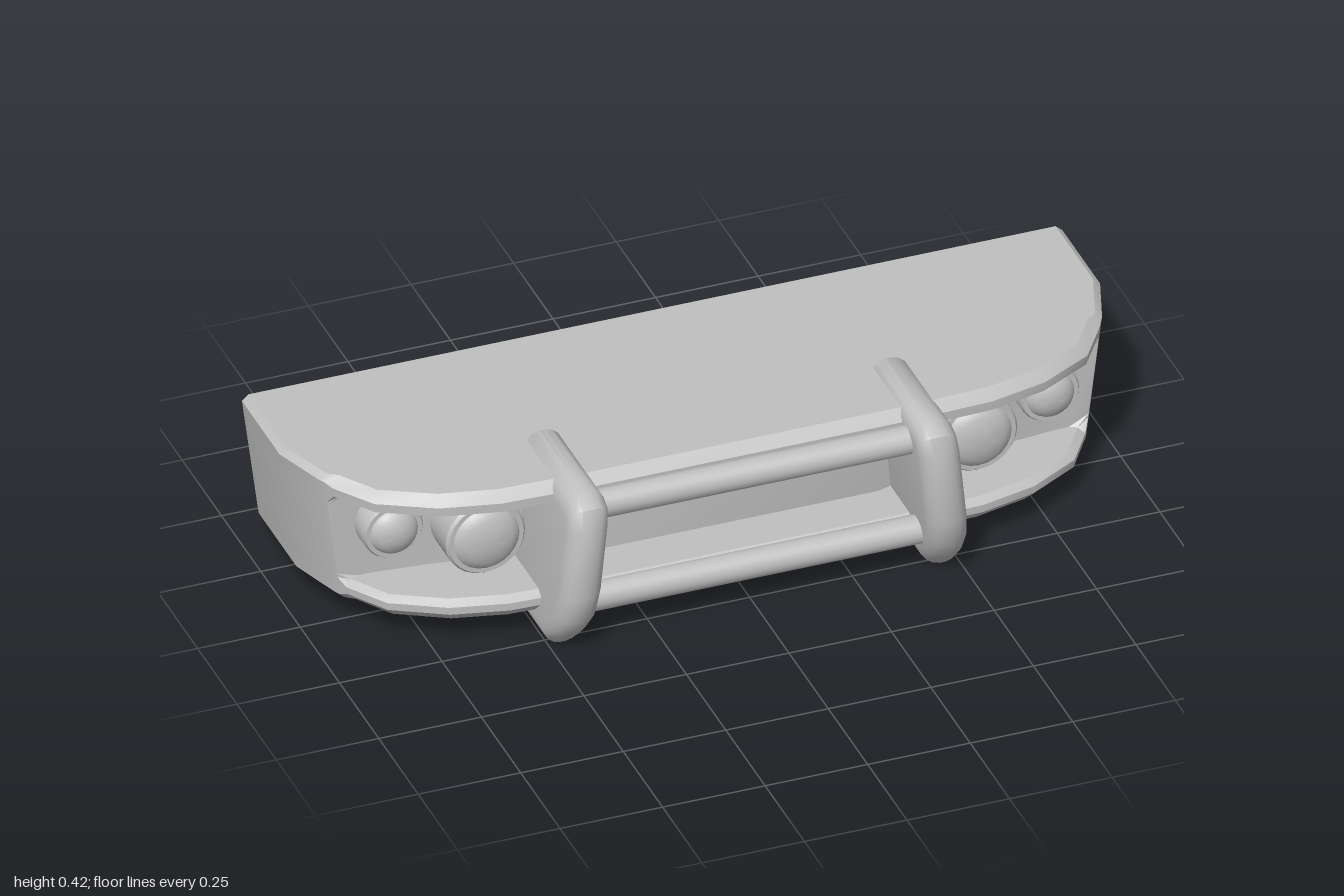
import * as THREE from 'three';
import { toCreasedNormals } from 'three/addons/utils/BufferGeometryUtils.js';

const grey = new THREE.MeshStandardMaterial({ color: 0xc0c0c0 });
grey.name = 'plain grey';

function addMesh(group, name, geometry, crease = 0.6) {
  const mesh = new THREE.Mesh(toCreasedNormals(geometry, crease), grey);
  mesh.name = name;
  group.add(mesh);
  return mesh;
}

// Wraparound shell with a recessed front: one vertical section per plan station.
function shellGeometry() {
  // outer [x, z], recess wall [x, z] (null where the side is solid)
  const half = [
    [1, -0.37, null], [1, -0.13, null], [0.955, 0, null], [0.947, 0.015, null],
    [0.935, 0.035, [0.9, 0.015]], [0.87, 0.13, [0.86, 0.016]], [0.74, 0.2, [0.72, 0.03]],
    [0.6, 0.232, [0.58, 0.05]], [0.38, 0.24, [0.38, 0.11]],
  ];
  const stations = [
    ...half,
    ...half.slice().reverse().map(([x, z, q]) => [-x, z, q && [-q[0], q[1]]]),
  ];
  const n = stations.length, rows = 10, pos = [], index = [];
  stations.forEach(([x, z, wall], i) => {
    // outward normal in plan
    const a = stations[Math.max(i - 1, 0)], b = stations[Math.min(i + 1, n - 1)];
    const t = new THREE.Vector2(b[0] - a[0], b[1] - a[1]).normalize();
    const nx = t.y, nz = -t.x;
    const at = (inset, y) => [x - nx * inset, y, z - (i === 0 || i === n - 1 ? 0 : nz * inset)];
    const opening = wall
      ? [at(0, 0.36), at(0.02, 0.35), [wall[0], 0.35, wall[1]],
        [wall[0], 0.12, wall[1]], at(0.02, 0.12), at(0, 0.107)]
      : [0.345, 0.335, 0.325, 0.145, 0.135, 0.125].map((y) => at(0, y));
    const c = wall ? 0.028 : 0.018;
    const section = [at(c, 0.405), at(0, 0.405 - c * 0.8), ...opening, at(0, 0.06 + c), at(c, 0.06)];
    // the ends lean inwards towards the bottom
    section.forEach(([px, py, pz]) => pos.push(px * (1 - 0.13 * (0.39 - py)), py, pz));
  });
  for (let i = 0; i < n; i++) {
    const k = (i + 1) % n;
    for (let j = 0; j < rows - 1; j++) {
      const a = i * rows + j, d = k * rows + j;
      index.push(a, d + 1, a + 1, a, d, d + 1);
    }
    // top and bottom faces
    if (i > 0 && i < n - 1) {
      index.push(0, k * rows, i * rows);
      index.push(rows - 1, i * rows + rows - 1, k * rows + rows - 1);
    }
  }
  const g = new THREE.BufferGeometry();
  g.setAttribute('position', new THREE.Float32BufferAttribute(pos, 3));
  g.setIndex(index);
  return g;
}

// Upright guard: rounded side outline, leaning outwards at the bottom.
function guardGeometry(side) {
  const outline = [
    [0.0, 0.39], [0.03, 0.42], [0.31, 0.42], [0.355, 0.4], [0.37, 0.35], [0.37, 0.17],
    [0.355, 0.1], [0.315, 0.045], [0.27, 0.001], [0.055, 0.001], [0, 0.025], [-0.01, 0.07],
  ].map(([z, y]) => new THREE.Vector2(z, y));
  const g = new THREE.ExtrudeGeometry(new THREE.Shape(outline), {
    depth: 0.012, bevelEnabled: true, bevelSize: 0.044, bevelThickness: 0.044,
    bevelOffset: -0.044, bevelSegments: 4,
  });
  g.translate(0, 0, -0.006);
  g.rotateY(-Math.PI / 2);
  const p = g.attributes.position;
  for (let i = 0; i < p.count; i++) {
    p.setX(i, p.getX(i) + side * (0.442 + (0.21 - p.getY(i)) * 0.1));
  }
  return g;
}

// Lamp: round housing with a shallow domed lens, facing +z.
function lampGeometry(radius, lens, back, front, tip) {
  const rise = tip - front;
  const profile = [
    [0, back], [radius, back], [radius, front - 0.008], [radius * 0.94, front], [lens, front],
    [lens * 0.92, front + rise * 0.32], [lens * 0.72, front + rise * 0.65],
    [lens * 0.4, front + rise * 0.92], [0, tip],
  ].map(([r, z]) => new THREE.Vector2(r, z));
  const g = new THREE.LatheGeometry(profile, 24);
  g.rotateX(Math.PI / 2);
  return g;
}

export function createModel() {
  const model = new THREE.Group();
  model.name = 'frontBumper';
  addMesh(model, 'shell', shellGeometry(), 0.5);

  // cross bars between the guards
  for (const [name, y] of [['upperBar', 0.352], ['lowerBar', 0.104]]) {
    const bar = new THREE.CylinderGeometry(0.035, 0.035, 0.88, 16);
    bar.rotateZ(Math.PI / 2);
    addMesh(model, name, bar).position.set(0, y, 0.267);
  }

  for (const side of [1, -1]) {
    const label = side > 0 ? 'left' : 'right';
    addMesh(model, label + 'Guard', guardGeometry(side), 0.8);
    addMesh(model, label + 'MainLamp', lampGeometry(0.097, 0.08, 0.035, 0.142, 0.168))
      .position.set(side * 0.6, 0.235, 0);
    addMesh(model, label + 'SmallLamp', lampGeometry(0.073, 0.058, 0.012, 0.076, 0.104))
      .position.set(side * 0.8, 0.26, 0);
  }
  return model;
}
